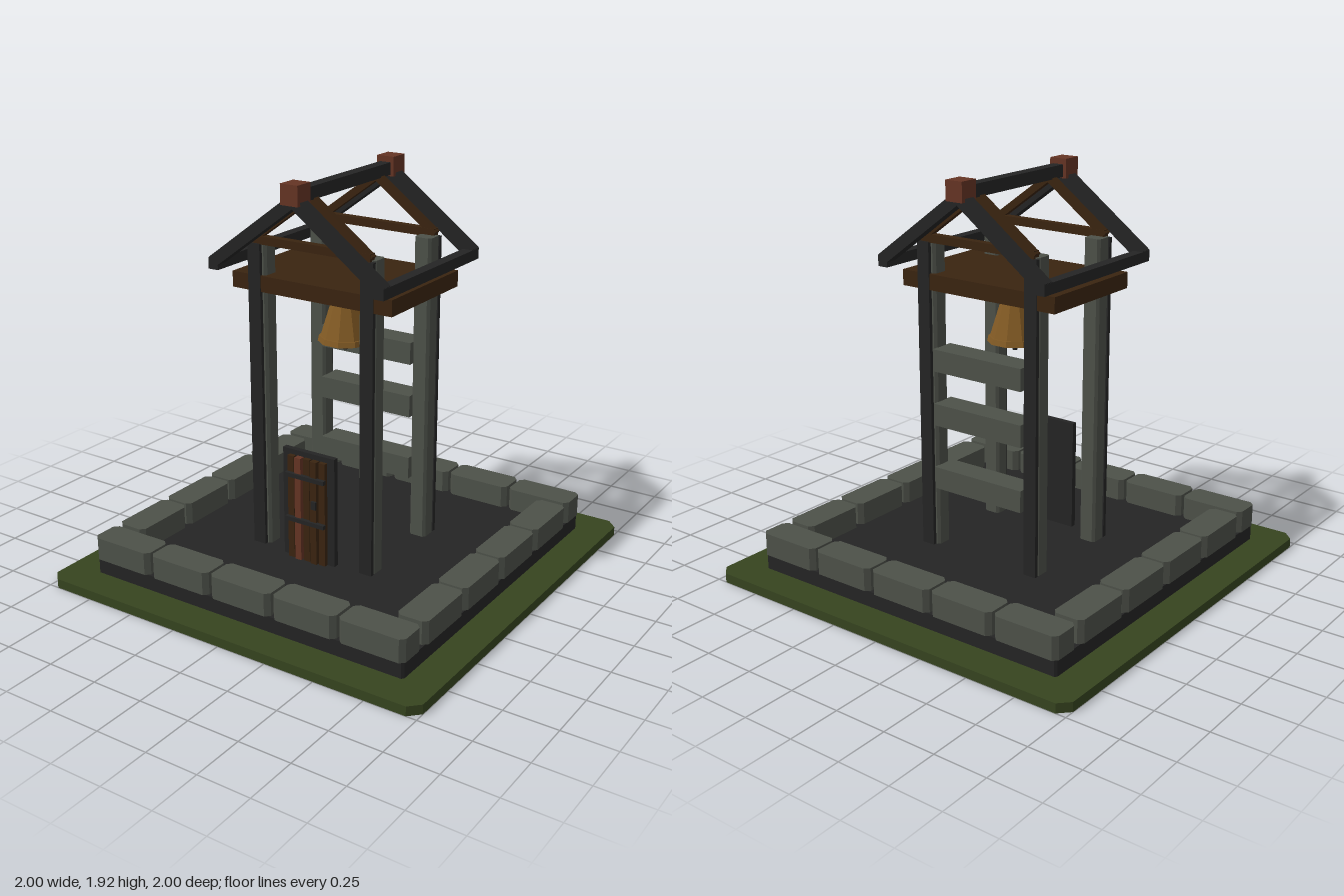
import * as THREE from 'three';

const mat = (name, color) => {
  const m = new THREE.MeshStandardMaterial({ color, flatShading: true });
  m.name = name;
  return m;
};

export function createModel() {
  const model = new THREE.Group();
  model.name = 'bellTower';
  const grass = mat('grass green', 0x36441f);
  const dark = mat('charcoal', 0x242424);
  const stone = mat('grey stone', 0x4d5149);
  const wood = mat('dark wood', 0x3a2410);
  const brick = mat('red brown', 0x653424);
  const bronze = mat('bronze', 0x825a24);

  const add = (name, geometry, material, parent = model) => {
    const mesh = new THREE.Mesh(geometry, material);
    mesh.name = name;
    parent.add(mesh);
    return mesh;
  };

  // Box given by its lower and upper limits on each axis
  const box = (name, material, x0, x1, y0, y1, z0, z1) => {
    const mesh = add(name, new THREE.BoxGeometry(x1 - x0, y1 - y0, z1 - z0), material);
    mesh.position.set((x0 + x1) / 2, (y0 + y1) / 2, (z0 + z1) / 2);
    return mesh;
  };

  // Upright block whose four vertical edges are chamfered by c
  const block = (name, material, x0, x1, y0, y1, z0, z1, c) => {
    const w = (x1 - x0) / 2, d = (z1 - z0) / 2;
    const shape = new THREE.Shape([
      [-w + c, -d], [w - c, -d], [w, -d + c], [w, d - c],
      [w - c, d], [-w + c, d], [-w, d - c], [-w, -d + c],
    ].map(([x, y]) => new THREE.Vector2(x, y)));
    const geometry = new THREE.ExtrudeGeometry(shape, { depth: y1 - y0, bevelEnabled: false });
    geometry.rotateX(-Math.PI / 2);
    const mesh = add(name, geometry, material);
    mesh.position.set((x0 + x1) / 2, y0, (z0 + z1) / 2);
    return mesh;
  };

  // Ground and raised floor
  block('grassSlab', grass, -1, 1, 0, 0.045, -1, 1, 0.05);
  block('floor', dark, -0.84, 0.84, 0.045, 0.12, -0.84, 0.84, 0.01);

  // Ring of kerb stones
  for (const s of [-1, 1]) {
    for (let i = 0; i < 5; i++) {
      const x = (i - 2) * 0.341;
      block('kerbStone', stone, x - 0.163, x + 0.163, 0.12, 0.23, s * 0.775 - 0.075, s * 0.775 + 0.075, 0.022);
    }
    for (let i = 0; i < 4; i++) {
      const z = (i - 1.5) * 0.341;
      block('kerbStone', stone, s * 0.775 - 0.075, s * 0.775 + 0.075, 0.12, 0.23, z - 0.163, z + 0.163, 0.022);
    }
  }

  // Corner posts, each faced with a dark plank
  for (const sx of [-1, 1]) {
    for (const sz of [-1, 1]) {
      const x = sx * 0.29, z = sz * 0.23;
      block('post', stone, x - 0.043, x + 0.043, 0.12, 1.605, z - 0.042, z + 0.042, 0.012);
      const px = sx * 0.3, pz = sz * 0.28;
      box('postPlank', dark, px - 0.033, px + 0.033, 0.12, 1.6, pz - 0.01, pz + 0.01);
    }
  }

  // Back rails between the posts
  for (const y of [0.473, 0.787, 1.05]) {
    box('backRail', stone, -0.25, 0.25, y - 0.053, y + 0.053, -0.292, -0.167);
  }

  // Bell deck
  box('bellDeck', wood, -0.425, 0.425, 1.377, 1.452, -0.285, 0.285);

  // Sloped roof members, drawn as a band in the front plane
  const rafter = (name, material, side, from, to, h, z0, z1) => {
    const dx = to[0] - from[0], dy = to[1] - from[1];
    const mesh = add(name, new THREE.BoxGeometry(Math.hypot(dx, dy), h, z1 - z0), material);
    mesh.position.set(side * (from[0] + to[0]) / 2, (from[1] + to[1]) / 2, (z0 + z1) / 2);
    mesh.rotation.z = side * Math.atan2(dy, dx);
  };
  for (const sz of [-1, 1]) {
    const outer = sz * 0.382, inner = sz * 0.268;
    for (const sx of [-1, 1]) {
      rafter('rafter', dark, sx, [0, 1.846], [0.445, 1.516], 0.054, outer - 0.028, outer + 0.028);
      rafter('innerRafter', wood, sx, [0, 1.842], [0.315, 1.61], 0.034, inner - 0.017, inner + 0.017);
    }
    box('tieBeam', wood, -0.315, 0.315, 1.597, 1.635, inner - 0.018, inner + 0.018);
    box('ridgeCap', brick, -0.045, 0.045, 1.83, 1.922, sz * 0.382 - 0.048, sz * 0.382 + 0.048);
    const ex = sz * 0.435;
    box('eaveRail', dark, ex - 0.026, ex + 0.026, 1.485, 1.535, -0.41, 0.41);
  }
  box('ridgeBeam', dark, -0.028, 0.028, 1.836, 1.895, -0.4, 0.4);

  // Ten-sided bell with rim, hanger and clapper
  const bell = new THREE.Group();
  bell.name = 'bell';
  bell.rotation.y = Math.PI / 2;
  model.add(bell);
  const drum = (name, material, rTop, rBottom, y0, y1, sides) => {
    add(name, new THREE.CylinderGeometry(rTop, rBottom, y1 - y0, sides), material, bell).position.y = (y0 + y1) / 2;
  };
  drum('bellBody', bronze, 0.052, 0.115, 1.145, 1.352, 10);
  drum('bellRim', bronze, 0.122, 0.128, 1.12, 1.146, 10);
  drum('bellHanger', dark, 0.012, 0.012, 1.34, 1.39, 8);
  drum('bellClapper', dark, 0.012, 0.012, 1.077, 1.14, 8);

  // Door: dark backing frame, planks, straps and handle
  box('doorFrame', dark, -0.142, 0.142, 0.12, 0.66, 0.278, 0.305);
  for (let i = 0; i < 5; i++) {
    const x = (i - 2) * 0.043;
    box('doorPlank', i === 1 ? brick : wood, x - 0.017, x + 0.017, 0.12, 0.635, 0.3, i % 2 ? 0.334 : 0.326);
  }
  for (const y of [0.325, 0.547]) {
    box('doorStrap', dark, -0.107, 0.107, y - 0.01, y + 0.01, 0.325, 0.345);
  }
  box('doorHandle', dark, 0.05, 0.075, 0.413, 0.452, 0.35, 0.362);

  return model;
}
